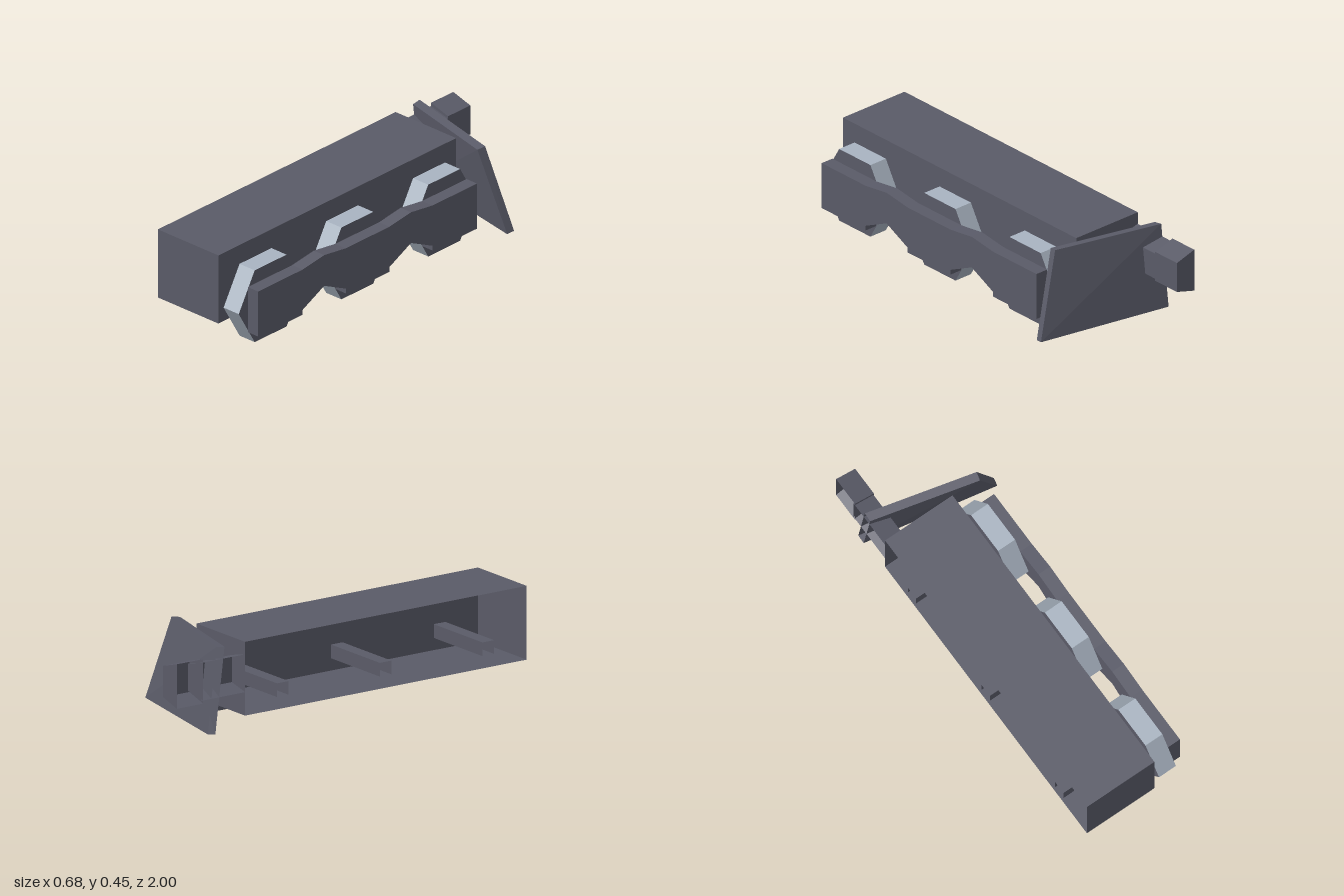
import * as THREE from 'three';

const INNER = -0.34; // open middle plane of the half hull

function material(name, color) {
  const m = new THREE.MeshStandardMaterial({ color, flatShading: true, side: THREE.DoubleSide });
  m.name = name;
  return m;
}

// Joins two four-point rings (top front, top back, bottom back, bottom front); open at the inner ring
function loft(inner, outer) {
  const pos = [];
  const quad = (a, b, c, d) => [a, b, c, a, c, d].forEach((p) => pos.push(...p));
  for (let i = 0; i < 4; i++) {
    const j = (i + 1) % 4;
    quad(inner[i], outer[i], outer[j], inner[j]);
  }
  quad(outer[3], outer[2], outer[1], outer[0]);
  const g = new THREE.BufferGeometry();
  g.setAttribute('position', new THREE.Float32BufferAttribute(pos, 3));
  g.computeVertexNormals();
  return g;
}

// Rectangular ring at a given x
const ring = (x, y0, y1, zBack, zFront) => [
  [x, y1, zFront], [x, y1, zBack], [x, y0, zBack], [x, y0, zFront],
];

export function createModel() {
  const model = new THREE.Group();
  const hullGrey = material('hullGrey', 0x5a5b68);
  const treadGrey = material('treadGrey', 0xa9b4c1);

  const add = (name, geometry, mat = hullGrey) => {
    const mesh = new THREE.Mesh(geometry, mat);
    mesh.name = name;
    model.add(mesh);
    return mesh;
  };

  // Long hull box
  add('hull', loft(ring(INNER, 0.095, 0.45, -0.61, 1), ring(0.043, 0.095, 0.45, -0.61, 1)));

  // Three hexagonal wheels with square axles
  const wheelGeo = new THREE.CylinderGeometry(0.216, 0.216, 0.096, 6).rotateZ(Math.PI / 2);
  [0.78, 0.193, -0.395].forEach((z, i) => {
    const wheel = add(`wheel${i + 1}`, wheelGeo, [treadGrey, hullGrey, hullGrey]);
    wheel.position.set(0.12, 0.187, z);
    add(`axle${i + 1}`, loft(
      ring(INNER, 0.154, 0.22, z - 0.033, z + 0.033),
      ring(0.08, 0.154, 0.22, z - 0.033, z + 0.033),
    ));
  });

  // Side skirt with a notch below and a slight peak above between wheels
  const peaks = [0.488, -0.1];
  const skirt = new THREE.Shape();
  skirt.moveTo(-0.935, 0.07);
  for (const z of peaks) {
    skirt.lineTo(-z - 0.146, 0.07);
    skirt.lineTo(-z - 0.146, 0.095);
    skirt.lineTo(-z, 0.165);
    skirt.lineTo(-z + 0.146, 0.095);
    skirt.lineTo(-z + 0.146, 0.07);
  }
  skirt.lineTo(0.547, 0.07);
  skirt.lineTo(0.547, 0.305);
  for (const z of [...peaks].reverse()) {
    skirt.lineTo(-z + 0.146, 0.305);
    skirt.lineTo(-z, 0.325);
    skirt.lineTo(-z - 0.146, 0.305);
  }
  skirt.lineTo(-0.935, 0.305);
  skirt.closePath();
  const skirtGeo = new THREE.ExtrudeGeometry(skirt, { depth: 0.066, bevelEnabled: false });
  add('sideSkirt', skirtGeo.rotateY(Math.PI / 2).translate(0.168, 0, 0));

  // Swept, leaning plate behind the wheels
  add('rearPlate', loft(
    [[INNER, 0.446, -0.728], [INNER, 0.453, -0.772], [INNER, 0.04, -0.823], [INNER, 0.034, -0.78]],
    [[0.19, 0.446, -0.597], [0.2, 0.453, -0.638], [0.335, 0.04, -0.69], [0.327, 0.034, -0.652]],
  ));

  // Rear neck and end block, both tapering outward
  add('rearNeck', loft(ring(INNER, 0.208, 0.39, -0.86, -0.61), ring(-0.235, 0.232, 0.363, -0.86, -0.61)));
  add('rearBlock', loft(ring(INNER, 0.193, 0.407, -1, -0.85), ring(-0.232, 0.224, 0.375, -1, -0.85)));

  return model;
}
